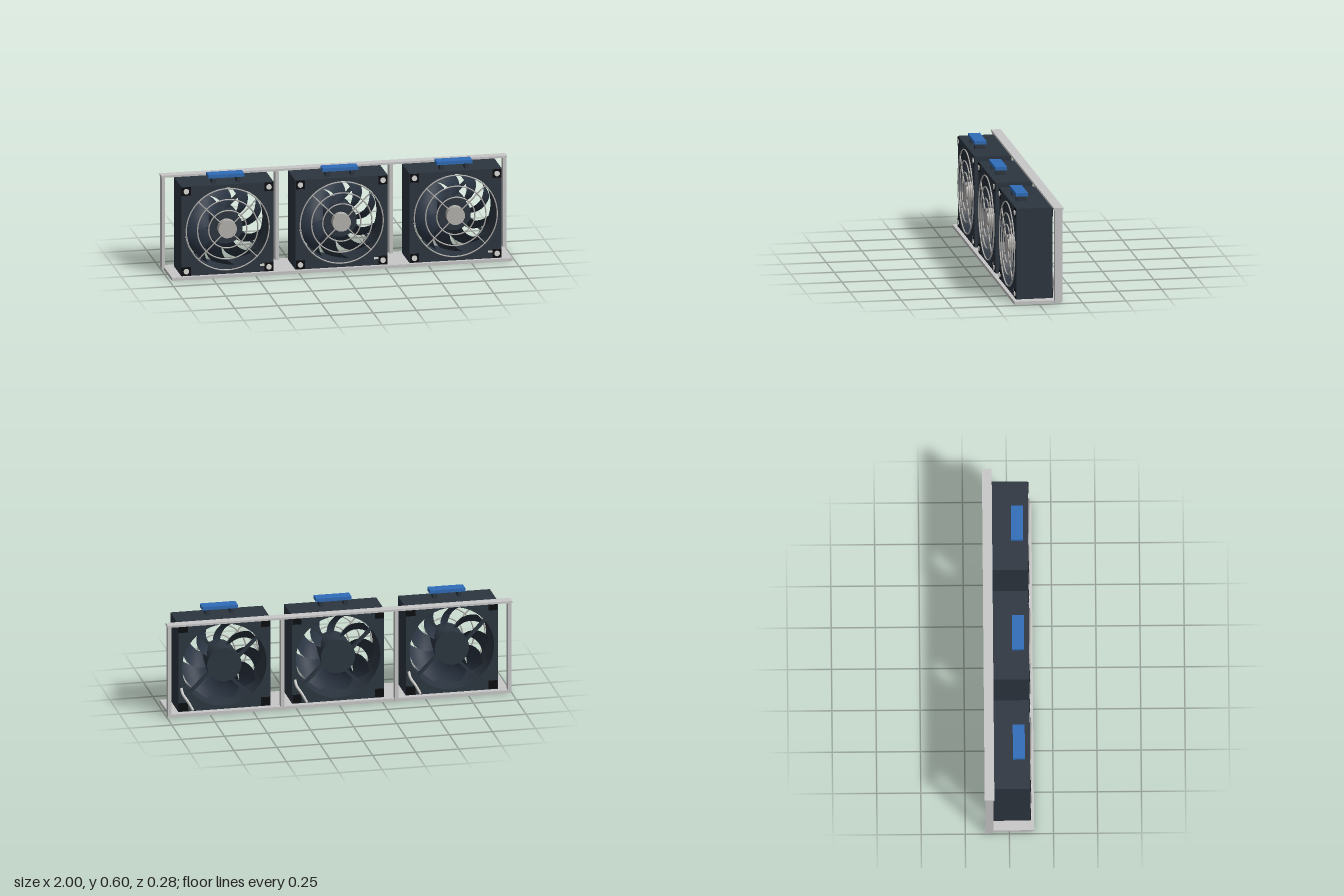
import * as THREE from 'three';
import { ParametricGeometry } from 'three/addons/geometries/ParametricGeometry.js';

const flat = (name, color, side = THREE.FrontSide) =>
  Object.assign(new THREE.MeshStandardMaterial({ color, side }), { name });

export function createModel() {
  const frameGrey = flat('frame grey', 0xc8c8c8);
  const housingDark = flat('housing slate', 0x2c3540);
  const bladeDark = flat('blade slate', 0x2a3442, THREE.DoubleSide);
  const rubber = flat('rubber black', 0x0b0c0e);
  const wireGrey = flat('wire grey', 0xb4b2ae);
  const handleBlue = flat('handle blue', 0x2f6db8);
  const cableGrey = flat('cable pale grey', 0xdcdcda);

  const add = (parent, name, geometry, material, x = 0, y = 0, z = 0) => {
    const mesh = new THREE.Mesh(geometry, material);
    mesh.name = name;
    mesh.position.set(x, y, z);
    parent.add(mesh);
    return mesh;
  };
  // Box given by its limits on each axis
  const box = (parent, name, mat, x0, x1, y0, y1, z0, z1) =>
    add(parent, name, new THREE.BoxGeometry(x1 - x0, y1 - y0, z1 - z0), mat,
      (x0 + x1) / 2, (y0 + y1) / 2, (z0 + z1) / 2);
  // Cylinder lying along z
  const disc = (parent, name, mat, r, z0, z1, x = 0, y = 0, sides = 32) =>
    add(parent, name, new THREE.CylinderGeometry(r, r, z1 - z0, sides).rotateX(Math.PI / 2),
      mat, x, y, (z0 + z1) / 2);

  const model = new THREE.Group();
  model.name = 'fanRack';

  // Rack: tray, upright posts and top rail
  box(model, 'baseTray', frameGrey, -0.985, 0.985, 0, 0.018, -0.125, 0.14);
  for (const x of [-0.987, -0.33, 0.33, 0.987])
    box(model, 'rearPost', frameGrey, x - 0.01, x + 0.01, 0.005, 0.55, -0.135, -0.09);
  box(model, 'topRail', frameGrey, -1, 1, 0.545, 0.557, -0.14, -0.085);

  // Square housing with a round duct
  const half = 0.267, halfY = 0.2635, duct = 0.245;
  const outline = new THREE.Shape([[-half, -halfY], [half, -halfY], [half, halfY], [-half, halfY]]
    .map(([x, y]) => new THREE.Vector2(x, y)));
  outline.holes.push(new THREE.Path().absarc(0, 0, duct, 0, Math.PI * 2, true));
  const housingGeo = new THREE.ExtrudeGeometry(outline, { depth: 0.209, bevelEnabled: false, curveSegments: 32 });

  // Swept, pitched blade: the front edge leads in angle
  const blades = 9;
  const bladeGeo = new ParametricGeometry((u, v, p) => {
    const r = 0.085 + 0.147 * u;
    const a = 0.5 * u * u + (v - 0.5) * (0.58 - 0.06 * u);
    p.set(r * Math.cos(a), r * Math.sin(a), 0.025 + (v - 0.5) * 0.1);
  }, 10, 4);

  const buildFan = (x) => {
    const fan = new THREE.Group();
    fan.name = 'fanUnit';
    fan.position.set(x, 0.2815, 0);
    model.add(fan);
    add(fan, 'housing', housingGeo, housingDark, 0, 0, -0.09);

    // Rotor
    const rotor = new THREE.Group();
    rotor.name = 'rotor';
    fan.add(rotor);
    disc(rotor, 'rotorHub', housingDark, 0.095, -0.04, 0.085);
    for (let i = 0; i < blades; i++)
      add(rotor, 'blade', bladeGeo, bladeDark).rotation.z = (i / blades) * Math.PI * 2;

    // Motor mount and struts at the back
    disc(fan, 'motorMount', housingDark, 0.1, -0.088, -0.045);
    for (let i = 0; i < 4; i++) {
      const strut = add(fan, 'strut', new THREE.BoxGeometry(0.165, 0.016, 0.02).translate(0.168, 0.03, 0),
        housingDark, 0, 0, -0.076);
      strut.rotation.z = Math.PI / 4 + i * Math.PI / 2;
    }

    // Wire finger guard with a centre cap
    const guard = new THREE.Group();
    guard.name = 'fingerGuard';
    guard.position.z = 0.124;
    fan.add(guard);
    for (const r of [0.11, 0.175, 0.24])
      add(guard, 'guardRing', new THREE.TorusGeometry(r, 0.004, 6, 56), wireGrey);
    for (let i = 0; i < 4; i++) {
      const spoke = add(guard, 'guardSpoke',
        new THREE.CylinderGeometry(0.004, 0.004, 0.2, 6).translate(0, 0.144, 0), wireGrey);
      spoke.rotation.z = Math.PI / 4 + i * Math.PI / 2;
    }
    disc(guard, 'guardCap', wireGrey, 0.053, -0.042, 0.003, 0, 0, 28);

    // Corner pads on both faces, screws on the front
    for (const sx of [-1, 1]) for (const sy of [-1, 1]) {
      const px = sx * 0.239, py = sy * 0.236;
      for (const z of [0.119, -0.09])
        add(fan, 'cornerPad', new THREE.BoxGeometry(0.052, 0.05, 0.006), rubber, px, py, z);
      disc(fan, 'screw', cableGrey, 0.016, 0.115, 0.126, px, py, 16);
    }
    box(fan, 'labelPlate', cableGrey, 0.188, 0.214, -0.229, -0.217, 0.117, 0.121);

    // Carry handle
    for (const hx of [-0.072, 0.072])
      box(fan, 'handlePost', housingDark, hx - 0.011, hx + 0.011, 0.26, 0.298, 0.027, 0.085);
    box(fan, 'handleGrip', handleBlue, -0.103, 0.103, 0.295, 0.315, 0.022, 0.09);

    // Power cable behind the lower corner
    const path = new THREE.CatmullRomCurve3([[0.25, -0.12, -0.088], [0.243, -0.155, -0.1],
      [0.215, -0.2, -0.104], [0.185, -0.255, -0.1]].map((p) => new THREE.Vector3(...p)));
    add(fan, 'cable', new THREE.TubeGeometry(path, 16, 0.008, 8), cableGrey);
  };
  for (const x of [-0.66, 0, 0.66]) buildFan(x);

  return model;
}
